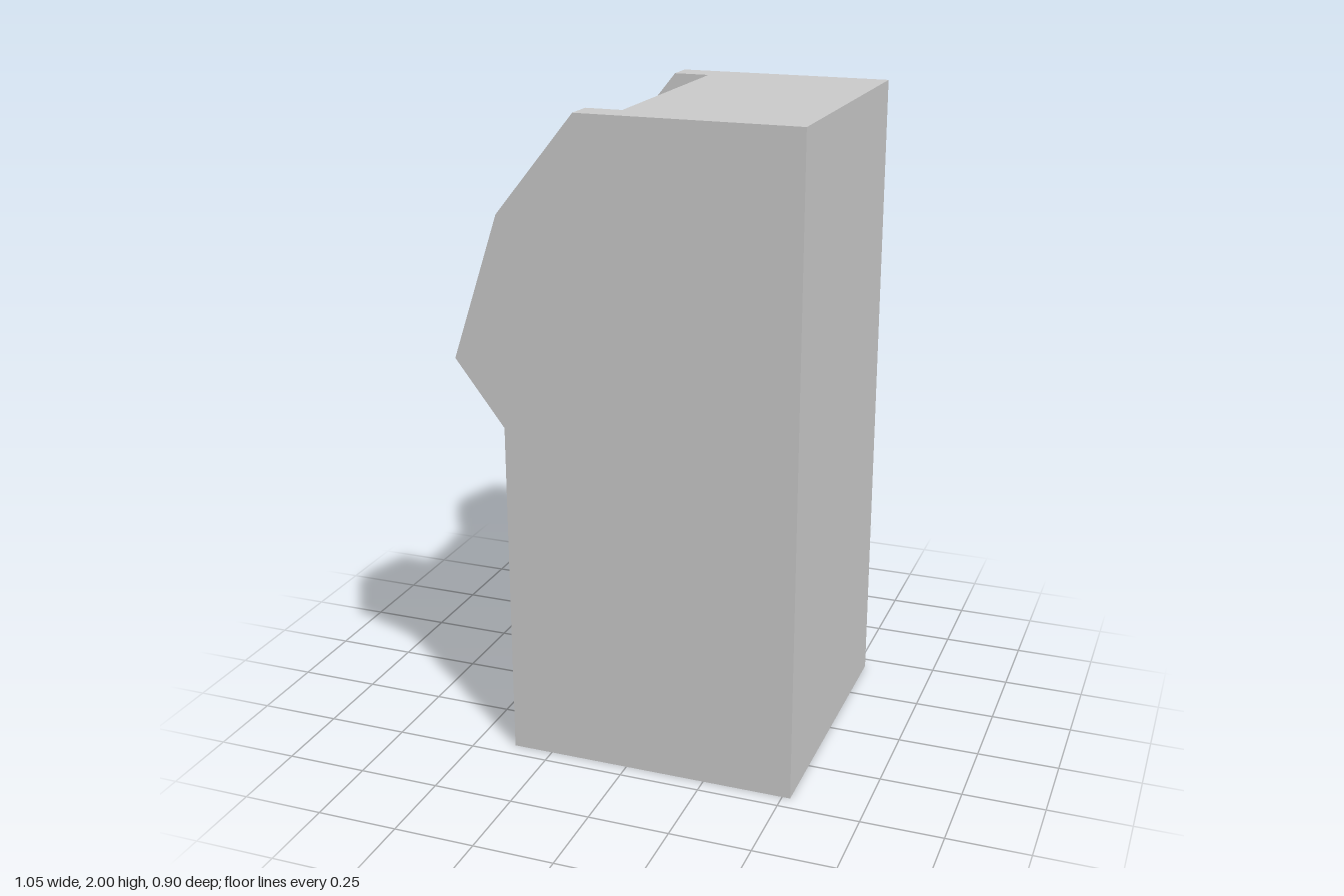
import * as THREE from 'three';

const material = new THREE.MeshStandardMaterial({ color: 0xcccccc, flatShading: true });

// Slab with an x-y outline, running from z0 to z1
function slab(name, points, z0, z1) {
  const shape = new THREE.Shape(points.map(([x, y]) => new THREE.Vector2(x, y)));
  const geometry = new THREE.ExtrudeGeometry(shape, { depth: z1 - z0, bevelEnabled: false });
  geometry.translate(0, 0, z0);
  const mesh = new THREE.Mesh(geometry, material);
  mesh.name = name;
  return mesh;
}

function box(name, size, position) {
  const mesh = new THREE.Mesh(new THREE.BoxGeometry(...size), material);
  mesh.name = name;
  mesh.position.set(...position);
  return mesh;
}

// Group lying on a sloped surface: local x runs up the slope, local y points out of it
function slopeGroup(name, low, high) {
  const group = new THREE.Group();
  group.name = name;
  group.position.set(low[0], low[1], 0);
  group.rotation.z = Math.atan2(high[1] - low[1], high[0] - low[0]);
  return group;
}

export function createModel() {
  const model = new THREE.Group();
  model.name = 'cashMachine';
  const back = 0.525, inner = 0.27, outer = 0.36, side = 0.45;

  // Corners of the recessed front, which faces -x
  const top = [-0.027, 2], lip = [-0.212, 1.7], tip = [-0.412, 1.26];
  const deckBack = [-0.233, 1.335], nicheTop = [-0.012, 1.7];
  const base = [[-0.26, 1.06], [-0.26, 0], [back, 0], [back, 2]];

  const sideOutline = [[back, 0], [back, 2], [-0.138, 2], [-0.38, 1.7],
    [-0.527, 1.26], [-0.375, 1.06], [-0.375, 0]];
  const frameOutline = [...base, top, lip, tip];
  const bodyOutline = [...base, top, lip, nicheTop, deckBack, tip];

  // Central body with the screen niche, flanked by frame strips and side panels
  model.add(slab('body', bodyOutline, -inner, inner));
  for (const [label, s] of [['left', 1], ['right', -1]]) {
    const span = (a, b) => (s > 0 ? [a, b] : [-b, -a]);
    model.add(slab(label + 'Frame', frameOutline, ...span(inner, outer)));
    model.add(slab(label + 'SidePanel', sideOutline, ...span(outer, side)));
  }

  // Keypad on the sloping deck; the last row has wide keys
  const keypad = slopeGroup('keypad', tip, deckBack);
  const slope = Math.cos(keypad.rotation.z);
  const rows = [[-0.113, -0.073], [-0.065, -0.023], [-0.016, 0.026], [0.033, 0.101]];
  for (const x of [-0.367, -0.321, -0.273]) {
    for (const [z0, z1] of rows) {
      keypad.add(box('key', [0.043, 0.02, z1 - z0], [(x - tip[0]) / slope, 0, (z0 + z1) / 2]));
    }
  }
  model.add(keypad);

  // Card reader on the upper slope
  const reader = slopeGroup('cardReader', lip, top);
  reader.add(box('readerPlate', [0.112, 0.024, 0.12], [0.148, 0, -0.002]));
  model.add(reader);

  // Service door with its handle
  model.add(box('door', [0.04, 0.53, 0.41], [-0.255, 0.61, 0.01]));
  model.add(box('doorHandle', [0.02, 0.09, 0.016], [-0.277, 0.61, -0.16]));

  return model;
}
